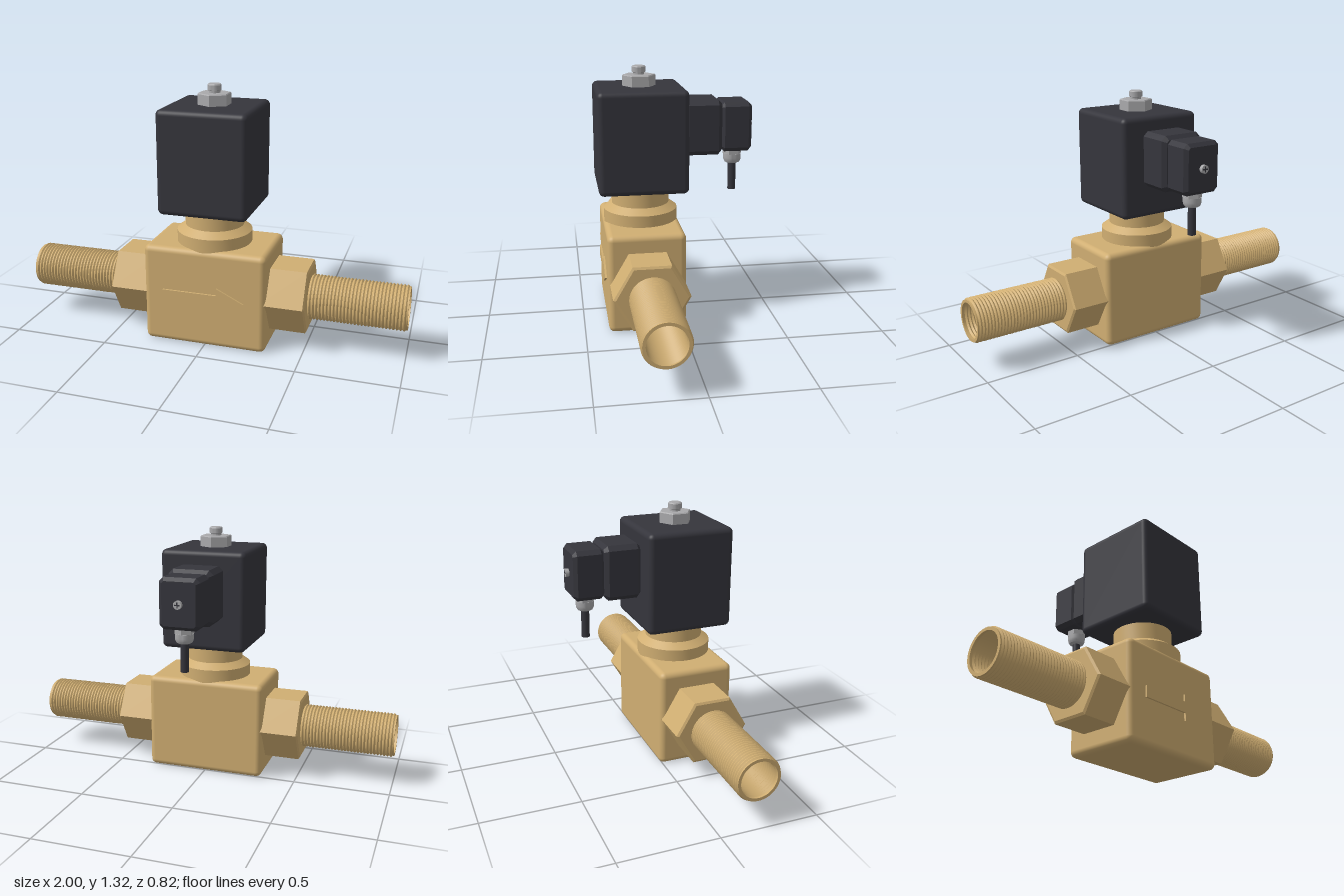
import * as THREE from 'three';
import { toCreasedNormals } from 'three/addons/utils/BufferGeometryUtils.js';
import { RoundedBoxGeometry } from 'three/addons/geometries/RoundedBoxGeometry.js';

const AXIS_Z = 0.182; // depth of the valve axis
const PIPE_Y = 0.26;  // height of the pipe axis

const material = (name, color) => {
  const m = new THREE.MeshStandardMaterial({ color });
  m.name = name;
  return m;
};

// Turned part with crisp edges; six segments give a hexagon
function turned(profile, segments = 48) {
  const points = profile.map(([r, y]) => new THREE.Vector2(r, y));
  return toCreasedNormals(new THREE.LatheGeometry(points, segments), 0.5);
}

// Box with every edge chamfered, centred on the origin
function chamferedBox(w, h, d, c) {
  const x = w / 2 - c, y = h / 2 - c, k = c * 0.6;
  const shape = new THREE.Shape([
    [x - k, -y], [x, -y + k], [x, y - k], [x - k, y],
    [-x + k, y], [-x, y - k], [-x, -y + k], [-x + k, -y],
  ].map(([a, b]) => new THREE.Vector2(a, b)));
  const g = new THREE.ExtrudeGeometry(shape, {
    depth: d - 2 * c, bevelEnabled: true, bevelSegments: 1, bevelSize: c, bevelThickness: c,
  });
  return g.translate(0, 0, -d / 2 + c);
}

// Threaded hollow pipe along +y, from start to 1
function threadedPipe(start) {
  const outer = 0.115, inner = 0.09, depth = 0.007, ridges = 28;
  const end = 0.992, pitch = (end - start) / ridges;
  const outside = [], inside = [];
  for (let i = 0; i < ridges; i++) {
    const y = start + i * pitch;
    outside.push([outer - depth, y], [outer, y + pitch * 0.4], [outer, y + pitch * 0.6]);
    inside.unshift([inner + depth, y + pitch * 0.5], [inner, y]);
  }
  return turned([
    ...outside, [outer - depth, end], [outer - depth, 1], [inner + 0.003, 1], ...inside, [0, start],
  ]);
}

export function createModel() {
  const model = new THREE.Group();
  model.name = 'solenoidValve';
  const brass = material('brass', 0xd0ae72);
  const black = material('black plastic', 0x35353c);
  const steel = material('steel', 0xa9a9ab);

  const add = (name, geometry, mat, x, y, z, parent = model) => {
    const mesh = new THREE.Mesh(geometry, mat);
    mesh.name = name;
    mesh.position.set(x, y, z);
    parent.add(mesh);
    return mesh;
  };

  // Valve body
  add('valveBody', new RoundedBoxGeometry(0.636, 0.515, 0.396, 4, 0.03), brass, 0, 0.2575, AXIS_Z);

  // Raised flow arrow on the front
  const arrow = new THREE.Shape([
    [-0.215, 0.232], [0.07, 0.232], [0.07, 0.19], [0.21, 0.26],
    [0.07, 0.328], [0.07, 0.29], [-0.215, 0.29],
  ].map(([x, y]) => new THREE.Vector2(x, y)));
  add('flowArrow', new THREE.ExtrudeGeometry(arrow, { depth: 0.013, bevelEnabled: false }),
    brass, 0, 0, 0.377);

  // Hexagonal union and threaded pipe on each side
  for (const side of [1, -1]) {
    const fitting = new THREE.Group();
    fitting.name = side > 0 ? 'leftFitting' : 'rightFitting';
    fitting.position.set(0, PIPE_Y, AXIS_Z);
    fitting.rotation.z = -side * Math.PI / 2;
    model.add(fitting);
    add('hexUnion', turned([[0, 0.28], [0.19, 0.28], [0.19, 0.503], [0.177, 0.51], [0, 0.51]], 6),
      brass, 0, 0, 0, fitting);
    add('threadedPipe', threadedPipe(0.511), brass, 0, 0, 0, fitting);
  }

  // Bonnet between body and coil
  add('bonnet', turned([[0, 0.49], [0.192, 0.49], [0.192, 0.575], [0.15, 0.605], [0.15, 0.7], [0, 0.7]]),
    brass, 0, 0, AXIS_Z);

  // Coil housing
  add('coilHousing', new RoundedBoxGeometry(0.456, 0.523, 0.455, 4, 0.028), black, 0, 0.9535, AXIS_Z);

  // Top nut and stud
  add('topNut', turned([[0, 1.21], [0.085, 1.21], [0.085, 1.267], [0.08, 1.272], [0, 1.272]], 6),
    steel, 0, 0, AXIS_Z);
  add('topStud', turned([[0.028, 1.265], [0.028, 1.282], [0.035, 1.285], [0.035, 1.31], [0.03, 1.316], [0, 1.316]], 32),
    steel, 0, 0, AXIS_Z);

  // Electrical plug behind the coil
  add('plugBase', chamferedBox(0.236, 0.283, 0.192, 0.02), black, 0, 1.0035, -0.138);
  add('plugHousing', chamferedBox(0.21, 0.256, 0.16, 0.018), black, 0, 1.0025, -0.311);

  // Plug screw with a crossed slot
  add('plugScrew', new THREE.CylinderGeometry(0.021, 0.021, 0.03, 24).rotateX(Math.PI / 2),
    steel, 0, 1.003, -0.394);
  for (const [w, h] of [[0.028, 0.006], [0.006, 0.028]]) {
    add('screwSlot', new THREE.BoxGeometry(w, h, 0.002), black, 0, 1.003, -0.409);
  }

  // Cable gland and cable
  add('glandNut', new THREE.CylinderGeometry(0.05, 0.05, 0.03, 6).toNonIndexed(), steel, 0, 0.86, -0.31)
    .geometry.computeVertexNormals();
  add('glandDome', turned([[0, 0.795], [0.027, 0.795], [0.039, 0.801], [0.045, 0.812], [0.047, 0.825], [0.047, 0.847], [0, 0.847]], 32),
    steel, 0, 0, -0.31);
  add('cable', new THREE.CylinderGeometry(0.021, 0.021, 0.16, 24), black, 0, 0.73, -0.31);

  return model;
}
